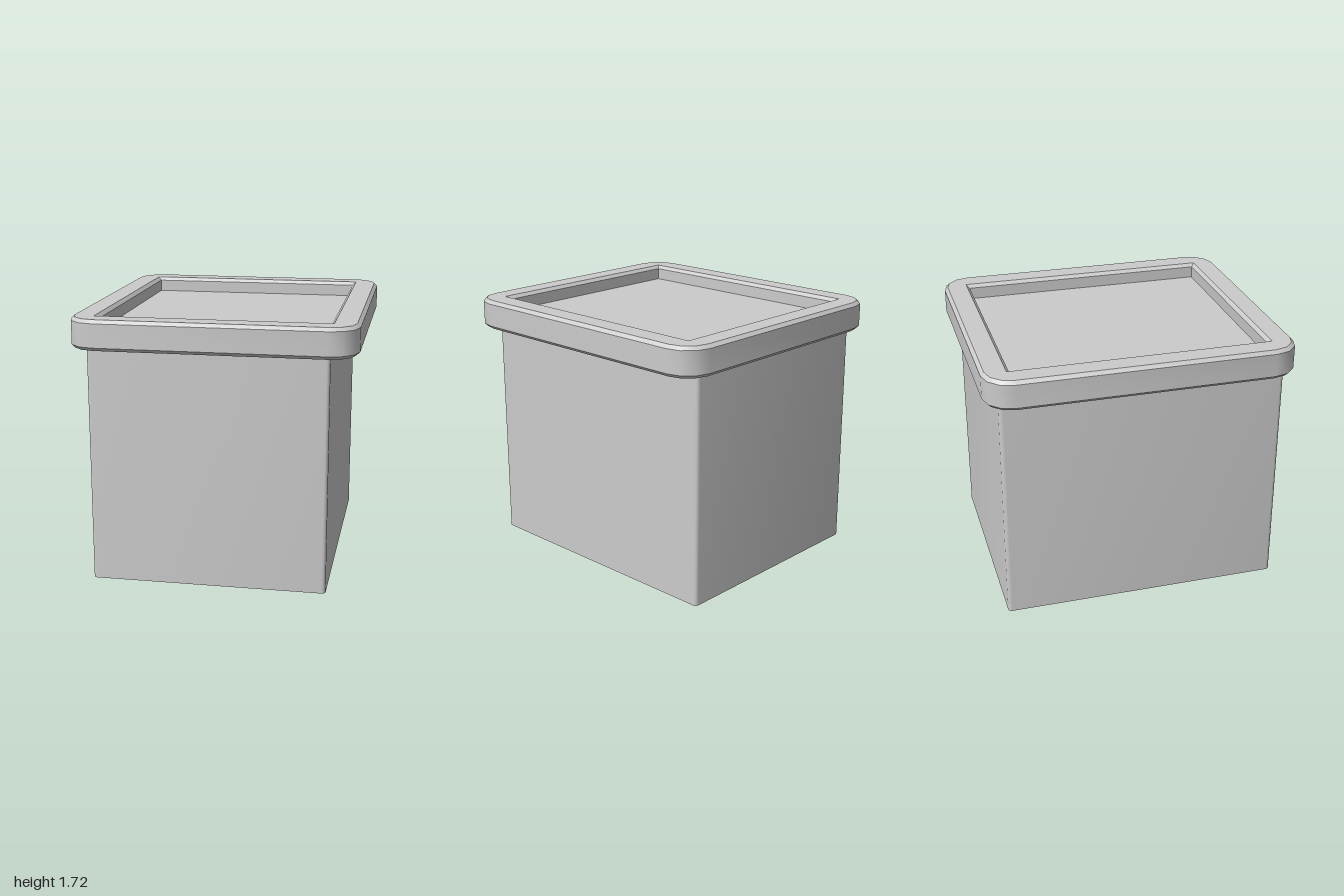
import * as THREE from 'three';
import { toCreasedNormals } from 'three/addons/utils/BufferGeometryUtils.js';

const RIM_BOTTOM = 1.525, TOP = 1.72, PANEL = 1.62, BEVEL = 0.022;

// Counterclockwise outline of a rounded rectangle; v points to the back (-z).
function roundedOutline(x0, x1, v0, v1, r, segments) {
  const centres = [[x1 - r, v0 + r], [x1 - r, v1 - r], [x0 + r, v1 - r], [x0 + r, v0 + r]];
  const points = [];
  centres.forEach(([cx, cv], corner) => {
    for (let i = 0; i <= segments; i++) {
      const a = (corner - 1 + i / segments) * Math.PI / 2;
      points.push(new THREE.Vector2(cx + r * Math.cos(a), cv + r * Math.sin(a)));
    }
  });
  return points;
}

// Bends a plane strip around an outline to form an open-ended wall.
function wallGeometry(outline, height) {
  const n = outline.length;
  const geometry = new THREE.PlaneGeometry(1, height, n, 1);
  const pos = geometry.attributes.position;
  for (let i = 0; i < pos.count; i++) {
    const p = outline[i % (n + 1) % n];
    pos.setXYZ(i, p.x, pos.getY(i) + height / 2, -p.y);
  }
  return toCreasedNormals(geometry, 0.6);
}

export function createModel() {
  const group = new THREE.Group();
  const solid = new THREE.MeshStandardMaterial({ color: 0xcccccc });
  const sheet = new THREE.MeshStandardMaterial({ color: 0xcccccc, side: THREE.DoubleSide });

  function add(name, geometry, material) {
    const mesh = new THREE.Mesh(geometry, material);
    mesh.name = name;
    group.add(mesh);
    return mesh;
  }

  // Thin body walls, open underneath
  const bodyOutline = roundedOutline(-0.785, 0.735, -0.93, 0.91, 0.025, 5);
  add('bodyWalls', wallGeometry(bodyOutline, PANEL), sheet);

  // Panel closing the body, sunk below the rim
  const panel = new THREE.ShapeGeometry(new THREE.Shape(bodyOutline));
  panel.rotateX(-Math.PI / 2);
  add('recessedPanel', panel, sheet).position.y = PANEL;

  // Bevelled rim with rounded outer corners and a square opening
  const rimShape = new THREE.Shape(roundedOutline(-0.905, 0.905, -1, 1, 0.18, 3));
  rimShape.holes.push(new THREE.Path([
    new THREE.Vector2(-0.73, -0.825), new THREE.Vector2(-0.73, 0.825),
    new THREE.Vector2(0.725, 0.825), new THREE.Vector2(0.725, -0.825),
  ]));
  const rim = new THREE.ExtrudeGeometry(rimShape, {
    depth: TOP - RIM_BOTTOM - 2 * BEVEL,
    bevelEnabled: true, bevelSegments: 1,
    bevelSize: BEVEL, bevelThickness: BEVEL, bevelOffset: -BEVEL,
  });
  rim.rotateX(-Math.PI / 2);
  add('rim', toCreasedNormals(rim, 0.6), solid).position.y = RIM_BOTTOM + BEVEL;

  return group;
}
